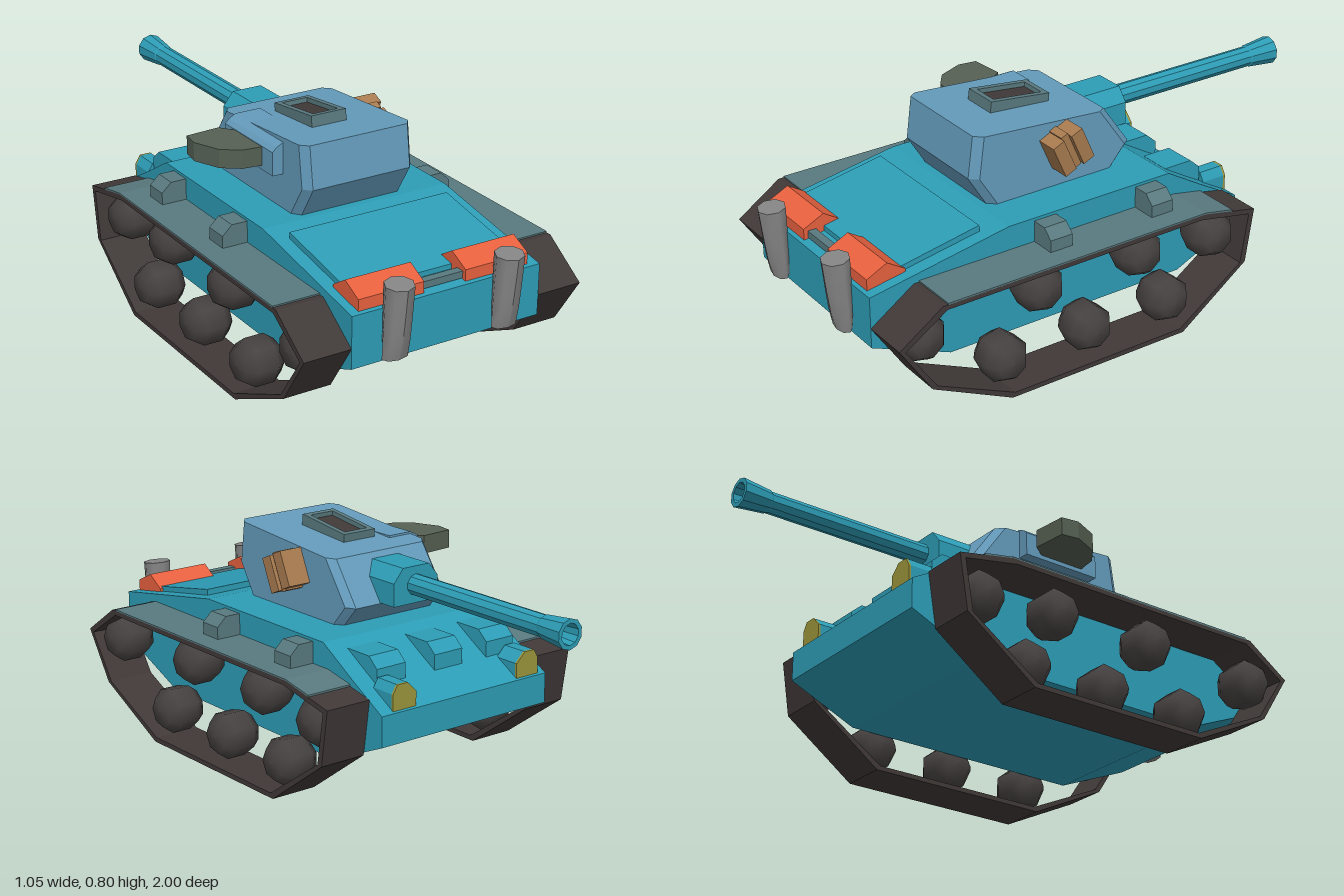
import * as THREE from 'three';

const mat = (name, color) => Object.assign(new THREE.MeshStandardMaterial({ color }), { name });

export function createModel() {
  const model = new THREE.Group();
  model.name = 'tank';
  const teal = mat('hull teal', 0x2d9db6);
  const blue = mat('turret blue', 0x649bbb);
  const grey = mat('fender grey teal', 0x597a7f);
  const dark = mat('track black brown', 0x403938);
  const wheelMat = mat('wheel charcoal', 0x464241);
  const olive = mat('dark olive', 0x556053);
  const brown = mat('crate brown', 0xa87b50);
  const orange = mat('signal orange', 0xe8613f);
  const steel = mat('exhaust steel', 0x858585);
  const yellow = mat('lamp yellow', 0x9c963c);

  const add = (name, geo, material, parent = model) => {
    const m = new THREE.Mesh(geo, material);
    m.name = name;
    parent.add(m);
    return m;
  };
  const vecs = (pts) => pts.map(([a, b]) => new THREE.Vector2(a, b));
  // Side profile of [z, y] points, extruded across from x0 to x1
  const prism = (pts, x0, x1, hole) => {
    const shape = new THREE.Shape(vecs(pts));
    if (hole) shape.holes.push(new THREE.Path(vecs(hole)));
    return new THREE.ExtrudeGeometry(shape, { depth: x1 - x0, bevelEnabled: false })
      .rotateY(-Math.PI / 2).translate(x1, 0, 0);
  };
  // Front profile of [x, y] points, extruded from z0 to z1
  const slab = (pts, z0, z1) => new THREE.ExtrudeGeometry(new THREE.Shape(vecs(pts)),
    { depth: z1 - z0, bevelEnabled: false }).translate(0, 0, z0);
  const box = (x0, x1, y0, y1, z0, z1) => new THREE.BoxGeometry(x1 - x0, y1 - y0, z1 - z0)
    .translate((x0 + x1) / 2, (y0 + y1) / 2, (z0 + z1) / 2);

  // Hull and engine deck
  add('hull', prism([[0.92, 0.25], [0.92, 0.43], [0.4, 0.518], [-0.25, 0.518], [-0.39, 0.435],
    [-0.55, 0.345], [-0.55, 0.24], [-0.3, 0.13], [0.63, 0.13]], -0.355, 0.355), teal);
  add('engineDeck', prism([[0.48, 0.48], [0.48, 0.526], [0.83, 0.463], [0.83, 0.42]], -0.305, 0.305), teal);
  add('rearBar', box(-0.09, 0.09, 0.438, 0.462, 0.86, 0.89), grey);

  // Vision blocks on the sloped front plate
  for (const x of [-0.245, -0.018, 0.226]) {
    add('visionBlock', prism([[-0.29, 0.46], [-0.29, 0.495], [-0.4, 0.495], [-0.44, 0.46], [-0.44, 0.39]],
      x - 0.06, x + 0.06), teal);
  }

  // Headlamps with yellow faces
  for (const [x, s] of [[-0.277, 1], [0.256, -1]]) {
    const face = [[-0.048, 0.335], [0.048, 0.335], [0.048, 0.4], [0.012, 0.435], [-0.03, 0.435], [-0.048, 0.405]]
      .map(([a, b]) => [x + s * a, b]);
    add('headlampHousing', slab(face, -0.535, -0.445), teal);
    add('headlampFace', slab(face, -0.543, -0.535), yellow);
  }

  // Tracks, fenders, wheels and fender boxes on both sides
  const loop = [[0.92, 0.32], [0.76, 0.428], [-0.275, 0.428], [-0.488, 0.385],
    [-0.458, 0.19], [-0.195, 0], [0.505, 0], [0.805, 0.145]];
  const inner = loop.map(([z, y]) => [0.216 + (z - 0.216) * 0.968, 0.214 + (y - 0.214) * 0.92]);
  const wheels = [[0.8, 0.3], [0.35, 0.325], [-0.05, 0.325], [-0.355, 0.3], [0.49, 0.11], [0.155, 0.11], [-0.17, 0.11]];
  const wheelGeo = new THREE.LatheGeometry(vecs([[0, -0.078], [0.055, -0.072], [0.083, -0.035],
    [0.083, 0.035], [0.055, 0.072], [0, 0.078]]), 7).rotateZ(-Math.PI / 2);
  for (const s of [1, -1]) {
    const span = s > 0 ? [0.355, 0.525] : [-0.525, -0.355];
    add('track', prism(loop, ...span, inner), dark);
    add('fender', prism([[0.74, 0.426], [0.74, 0.433], [-0.275, 0.433], [-0.39, 0.411], [-0.39, 0.404],
      [-0.275, 0.426]], ...span), grey);
    for (const [z, y] of wheels) add('wheel', wheelGeo, wheelMat).position.set(s * 0.435, y, z);
    for (const z of [-0.152, 0.258]) {
      add('fenderBox', slab([[0.34, 0.425], [0.447, 0.425], [0.447, 0.475], [0.412, 0.508], [0.34, 0.508]]
        .map(([a, b]) => [s * a, b]), z - 0.043, z + 0.043), grey);
    }
  }

  // Rear boxes and upright exhausts
  for (const [x0, x1] of [[-0.323, -0.082], [0.075, 0.316]]) {
    add('rearBox', prism([[0.765, 0.43], [0.765, 0.467], [0.83, 0.508], [0.905, 0.472], [0.905, 0.425]], x0, x1), orange);
  }
  const pipe = new THREE.CylinderGeometry(0.05, 0.05, 0.25, 8, 4);
  const pp = pipe.attributes.position;
  for (let i = 0; i < pp.count; i++) {
    const t = (pp.getY(i) + 0.125) / 0.25;
    pp.setY(i, pp.getY(i) - pp.getZ(i) * 0.1);
    pp.setZ(i, pp.getZ(i) * (0.45 + 0.5 * Math.sqrt(t)) + 0.938 + 0.014 * t);
  }
  pipe.computeVertexNormals();
  for (const x of [-0.207, 0.207]) add('exhaust', pipe, steel).position.set(x, 0.39, 0);

  // Turret shell from chamfered rings: [rear z, rear y, front z, front y]
  const rings = [[0.37, 0.515, -0.14, 0.515], [0.44, 0.628, -0.205, 0.588], [0.42, 0.775, -0.1, 0.736]]
    .map(([zr, yr, zf, yf]) => [[0.205, zr - 0.03], [0.205, zf + 0.03], [0.182, zf], [-0.192, zf],
      [-0.215, zf + 0.03], [-0.215, zr - 0.03], [-0.192, zr], [0.182, zr]]
      .map(([x, z]) => [x, yf + (yr - yf) * (z - zf) / (zr - zf), z]));
  const tri = [];
  for (let r = 0; r < 2; r++) {
    for (let i = 0; i < 8; i++) {
      const j = (i + 1) % 8, [lo, hi] = [rings[r], rings[r + 1]];
      tri.push(lo[i], lo[j], hi[j], lo[i], hi[j], hi[i]);
    }
  }
  for (let i = 1; i < 7; i++) {
    tri.push(rings[2][0], rings[2][i], rings[2][i + 1], rings[0][0], rings[0][i + 1], rings[0][i]);
  }
  const shell = new THREE.BufferGeometry();
  shell.setAttribute('position', new THREE.Float32BufferAttribute(tri.flat(), 3));
  shell.computeVertexNormals();
  add('turret', shell, blue);

  // Side housing and the dark olive drum beside it
  add('sideHousing', slab([[-0.255, 0.64], [-0.12, 0.64], [-0.12, 0.75], [-0.215, 0.75], [-0.24, 0.737],
    [-0.255, 0.722]], -0.01, 0.295), blue);
  const drum = new THREE.Shape(vecs([[-0.25, -0.23], [-0.25, -0.06], [-0.29, -0.005], [-0.415, -0.015],
    [-0.425, -0.08], [-0.385, -0.175], [-0.325, -0.22]]));
  add('sideDrum', new THREE.ExtrudeGeometry(drum, { depth: 0.065, bevelEnabled: false })
    .rotateX(-Math.PI / 2).translate(0, 0.655, 0), olive);

  // Tilted crate on the other side, with a recessed middle band
  const crate = new THREE.Group();
  crate.name = 'crate';
  crate.position.set(0.2, 0.667, 0.095);
  crate.rotation.x = 0.42;
  model.add(crate);
  add('crateHalf', box(0, 0.085, -0.062, 0.062, 0.014, 0.06), brown, crate);
  add('crateHalf', box(0, 0.091, -0.062, 0.062, -0.06, -0.014), brown, crate);
  add('crateBand', box(0, 0.072, -0.068, 0.068, -0.014, 0.014), brown, crate);

  // Roof hatch: raised frame with a dark opening
  const hatch = new THREE.Group();
  hatch.name = 'hatch';
  hatch.position.set(-0.018, 0.758, 0.145);
  hatch.rotation.x = -0.12;
  model.add(hatch);
  const rect = (a, b) => vecs([[-a, -b], [a, -b], [a, b], [-a, b]]);
  const frame = new THREE.Shape(rect(0.067, 0.117));
  frame.holes.push(new THREE.Path(rect(0.048, 0.096)));
  add('hatchFrame', new THREE.ExtrudeGeometry(frame, { depth: 0.05, bevelEnabled: false })
    .rotateX(-Math.PI / 2).translate(0, -0.02, 0), grey, hatch);
  add('hatchOpening', box(-0.049, 0.049, -0.015, 0.014, -0.097, 0.097), dark, hatch);

  // Mantlet, barrel and open flared muzzle
  add('mantlet', slab([[-0.111, 0.59], [0.079, 0.59], [0.079, 0.67], [0.04, 0.717], [-0.072, 0.717],
    [-0.111, 0.67]], -0.275, -0.08), teal);
  const barrel = new THREE.LatheGeometry(vecs([[0.037, 0.25], [0.037, 0.89], [0.04, 0.895], [0.051, 1],
    [0.036, 1], [0.028, 0.9], [0, 0.9]]), 10).rotateX(-Math.PI / 2).toNonIndexed();
  barrel.computeVertexNormals();
  add('barrel', barrel, teal).position.set(-0.015, 0.653, 0);

  return model;
}
